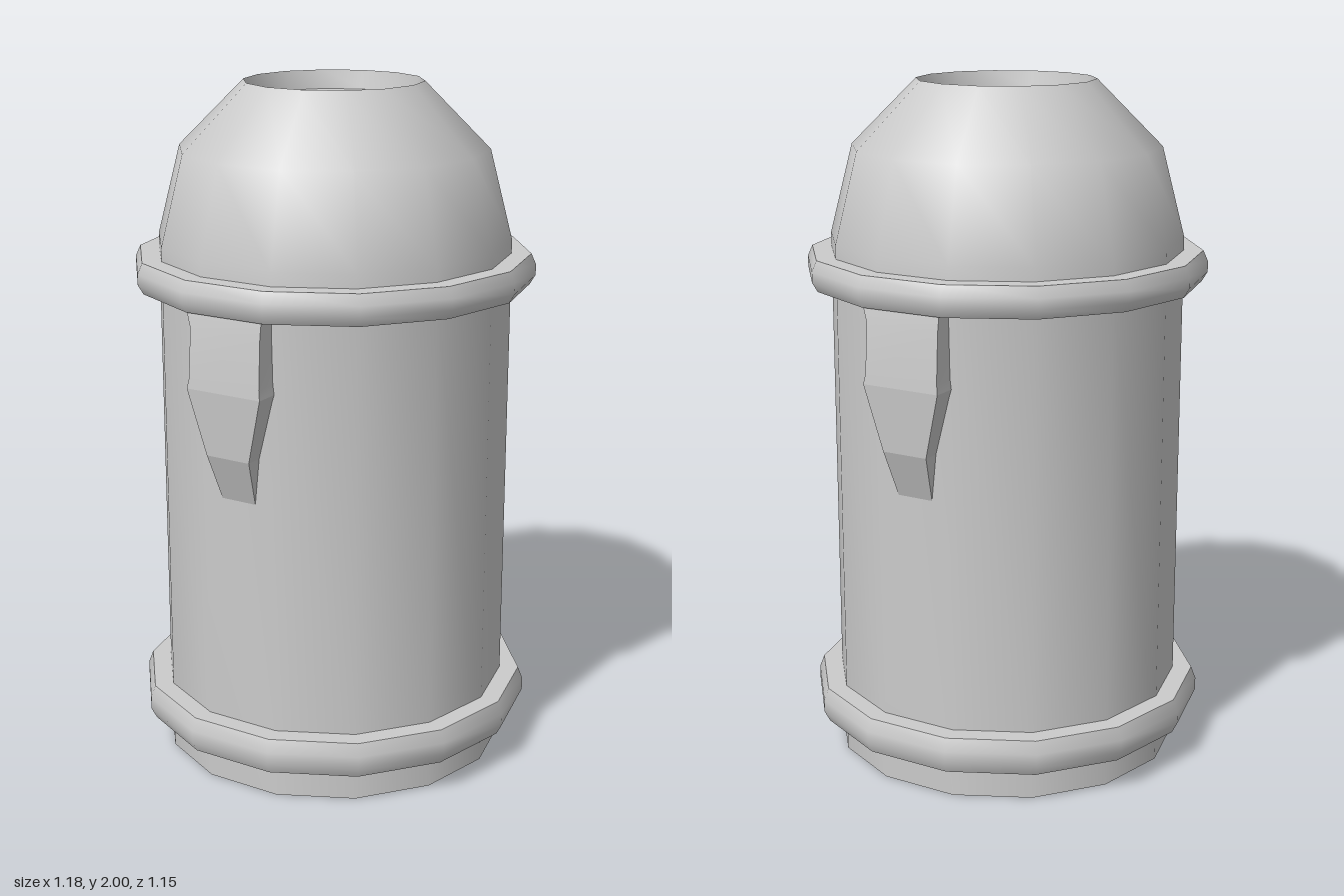
import * as THREE from 'three';
import { toCreasedNormals } from 'three/addons/utils/BufferGeometryUtils.js';

const SIDES = 14;
const R = 0.517;
const material = new THREE.MeshStandardMaterial({ color: 0xcccccc });

function addMesh(group, name, geometry) {
  const mesh = new THREE.Mesh(geometry, material);
  mesh.name = name;
  group.add(mesh);
  return mesh;
}

// Turned part from [radius, y] points, with a corner on the +x axis
function turned(points, crease = 0.9) {
  const profile = points.map(([r, y]) => new THREE.Vector2(r, y));
  return toCreasedNormals(new THREE.LatheGeometry(profile, SIDES, Math.PI / 2), crease);
}

// Tapering clip lofted through rows of [y, left edge, right edge, front z]
function clipGeometry() {
  const rows = [
    [0.88, -0.055, 0.055, 0.503],
    [1.02, -0.07, 0.07, 0.555],
    [1.21, -0.12, 0.12, 0.573],
    [1.24, -0.113, 0.117, 0.571],
    [1.38, -0.113, 0.115, 0.56],
    [1.44, -0.135, 0.115, 0.55],
  ];
  const zBack = 0.47;
  const positions = [];
  const index = [];
  for (const [y, x0, x1, z] of rows) {
    positions.push(x0, y, zBack, x0, y, z, x1, y, z, x1, y, zBack);
  }
  const quad = (a, b, c, d) => index.push(a, b, c, a, c, d);
  for (let i = 0; i < rows.length - 1; i++) {
    for (let j = 0; j < 4; j++) {
      const a = i * 4 + j, b = i * 4 + ((j + 1) % 4);
      quad(a, b, b + 4, a + 4);
    }
  }
  quad(3, 2, 1, 0);
  const t = (rows.length - 1) * 4;
  quad(t, t + 1, t + 2, t + 3);
  const geometry = new THREE.BufferGeometry();
  geometry.setAttribute('position', new THREE.Float32BufferAttribute(positions, 3));
  geometry.setIndex(index);
  return toCreasedNormals(geometry, 0.15);
}

export function createModel() {
  const group = new THREE.Group();

  // Cylindrical body with closed underside
  addMesh(group, 'body', turned([[0, 0], [R, 0], [R, 1.46]]));

  // Raised bands around the foot and the shoulder
  const bands = [['lowerBand', 0.1, 0.205], ['upperBand', 1.42, 1.51]];
  for (const [name, y0, y1] of bands) {
    const h = y1 - y0;
    addMesh(group, name, turned([
      [R - 0.02, y0], [0.572, y0], [0.588, y0 + h * 0.3],
      [0.588, y0 + h * 0.65], [0.574, y1], [R - 0.02, y1],
    ]));
  }

  // Domed cap, open at the top with a stepped recess
  addMesh(group, 'dome', turned([
    [R, 1.46], [R, 1.55], [0.45, 1.81], [0.26, 2],
    [0.25, 1.945], [0.18, 1.945], [0.175, 1.905], [0, 1.905],
  ]));

  // Clips under the upper band, front and back
  const clip = clipGeometry();
  addMesh(group, 'frontClip', clip);
  addMesh(group, 'backClip', clip).rotation.y = Math.PI;

  return group;
}
